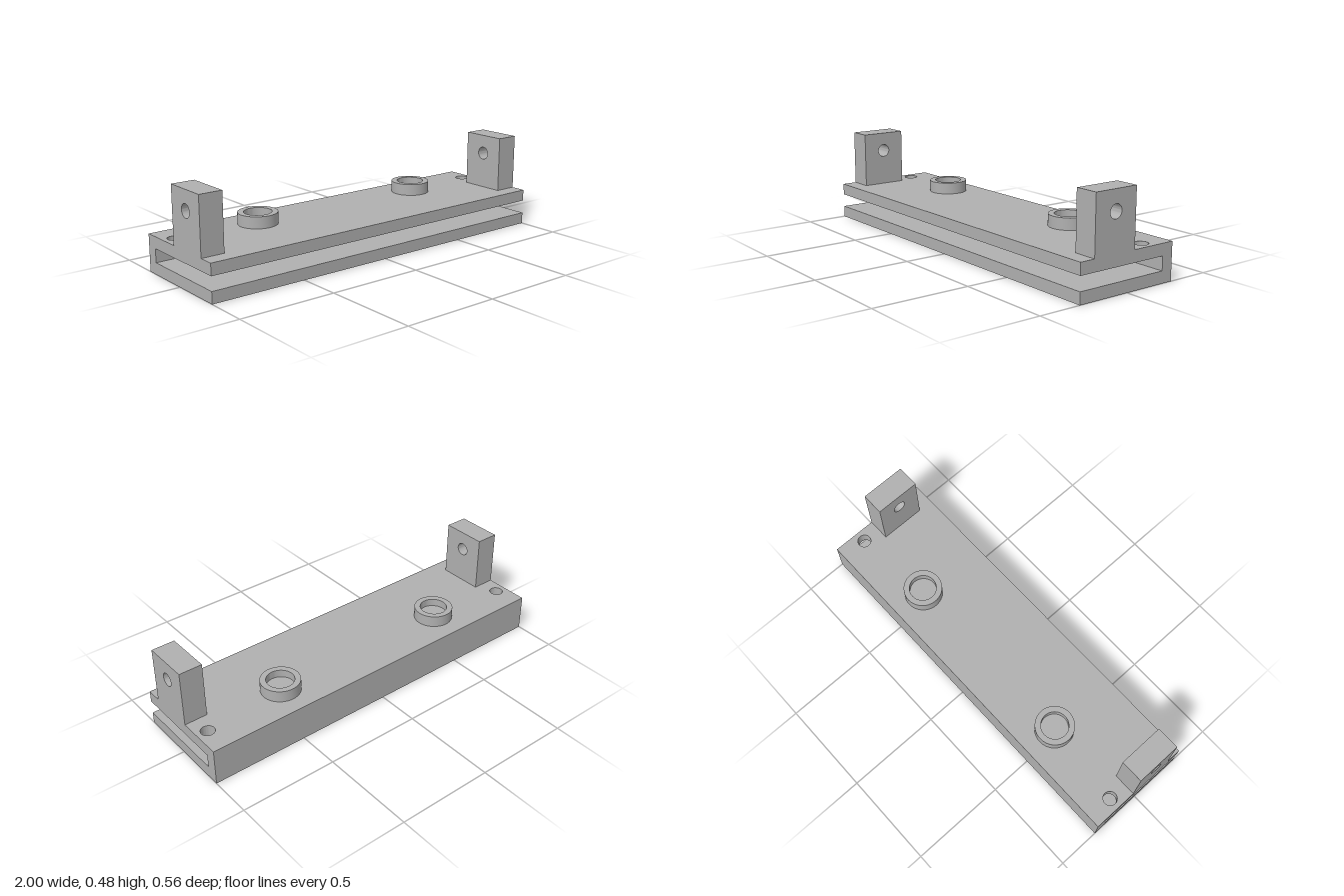
import * as THREE from 'three';
import { toCreasedNormals } from 'three/addons/utils/BufferGeometryUtils.js';

// Rectangle with round holes, given as [x, y, radius], extruded along z
function drilledPlate(x0, y0, x1, y1, depth, holes) {
  const shape = new THREE.Shape();
  shape.moveTo(x0, y0).lineTo(x1, y0).lineTo(x1, y1).lineTo(x0, y1).closePath();
  for (const [x, y, r] of holes) {
    shape.holes.push(new THREE.Path().absarc(x, y, r, 0, Math.PI * 2, true));
  }
  const geo = new THREE.ExtrudeGeometry(shape, { depth, bevelEnabled: false, curveSegments: 32 });
  return toCreasedNormals(geo, 0.5);
}

export function createModel() {
  const group = new THREE.Group();
  const grey = new THREE.MeshStandardMaterial({ color: 0xb0b0b0 });
  grey.name = 'grey';

  function add(name, geometry, x = 0, y = 0, z = 0) {
    const mesh = new THREE.Mesh(geometry, grey);
    mesh.name = name;
    mesh.position.set(x, y, z);
    group.add(mesh);
    return mesh;
  }

  // Channel open to the front: bottom plate, back wall, top plate with corner holes
  add('bottomPlate', new THREE.BoxGeometry(2, 0.06, 0.5), 0, 0.03, 0.03);
  add('backWall', new THREE.BoxGeometry(2, 0.19, 0.06), 0, 0.095, -0.25);
  const top = drilledPlate(-1, -0.28, 1, 0.22, 0.06, [[-0.94, 0.14, 0.035], [0.94, 0.14, 0.035]]);
  top.rotateX(-Math.PI / 2);
  add('topPlate', top, 0, 0.13, 0);

  // Upright lugs with a cross hole, flush with the ends
  const lug = drilledPlate(-0.2, 0.19, 0.04, 0.48, 0.12, [[-0.08, 0.38, 0.034]]);
  lug.rotateY(Math.PI / 2);
  add('leftLug', lug, 0.88);
  add('rightLug', lug, -1);

  // Round bosses with a shallow recess
  const profile = [[0.1, 0.19], [0.1, 0.25], [0.07, 0.25], [0.07, 0.21], [0, 0.21]]
    .map(([r, y]) => new THREE.Vector2(r, y));
  const boss = toCreasedNormals(new THREE.LatheGeometry(profile, 48), 0.5);
  add('leftBoss', boss, 0.5, 0, -0.1);
  add('rightBoss', boss, -0.5, 0, -0.1);

  return group;
}
